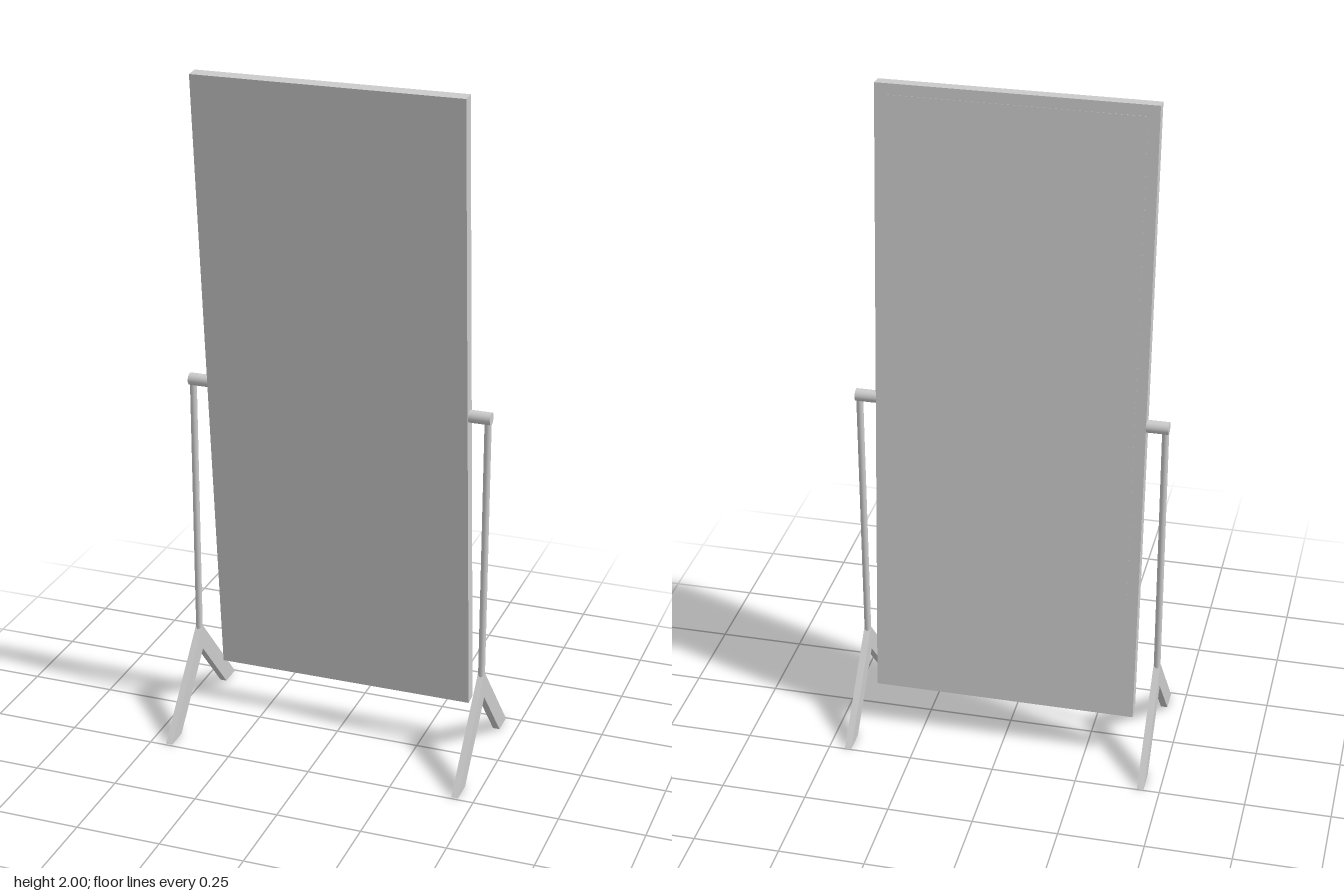
import * as THREE from 'three';

const material = new THREE.MeshStandardMaterial({ color: 0xcccccc });

function addMesh(parent, name, geometry, x = 0, y = 0, z = 0) {
  const mesh = new THREE.Mesh(geometry, material);
  mesh.name = name;
  mesh.position.set(x, y, z);
  parent.add(mesh);
  return mesh;
}

export function createModel() {
  const model = new THREE.Group();
  model.name = 'standingMirror';

  // Tilted mirror slab with a thin backing panel
  const mirror = new THREE.Group();
  mirror.name = 'mirror';
  mirror.position.set(0, 1.07, 0);
  mirror.rotation.x = 0.083;
  addMesh(mirror, 'mirrorSlab', new THREE.BoxGeometry(0.78, 1.863, 0.04));
  addMesh(mirror, 'backPanel', new THREE.BoxGeometry(0.716, 1.46, 0.004), 0, 0.17, -0.0188);
  model.add(mirror);

  // Splayed foot profile, drawn in z and y
  const foot = new THREE.Shape([
    [0, 0.28], [-0.245, 0], [-0.175, 0], [0, 0.2], [0.175, 0], [0.245, 0],
  ].map(([z, y]) => new THREE.Vector2(z, y)));
  const footGeometry = new THREE.ExtrudeGeometry(foot, { depth: 0.02, bevelEnabled: false });
  footGeometry.translate(0, 0, -0.01).rotateY(Math.PI / 2);

  // A post, foot and pivot on each side
  for (const side of [1, -1]) {
    const stand = new THREE.Group();
    stand.name = side > 0 ? 'leftStand' : 'rightStand';
    addMesh(stand, 'foot', footGeometry, side * 0.443, 0, -0.002);
    addMesh(stand, 'post', new THREE.CylinderGeometry(0.01, 0.01, 0.83, 24), side * 0.443, 0.66, -0.002);
    const pivot = addMesh(stand, 'pivot', new THREE.CylinderGeometry(0.018, 0.018, 0.073, 32),
      side * 0.4165, 1.073, -0.002);
    pivot.rotation.z = Math.PI / 2;
    model.add(stand);
  }
  return model;
}
